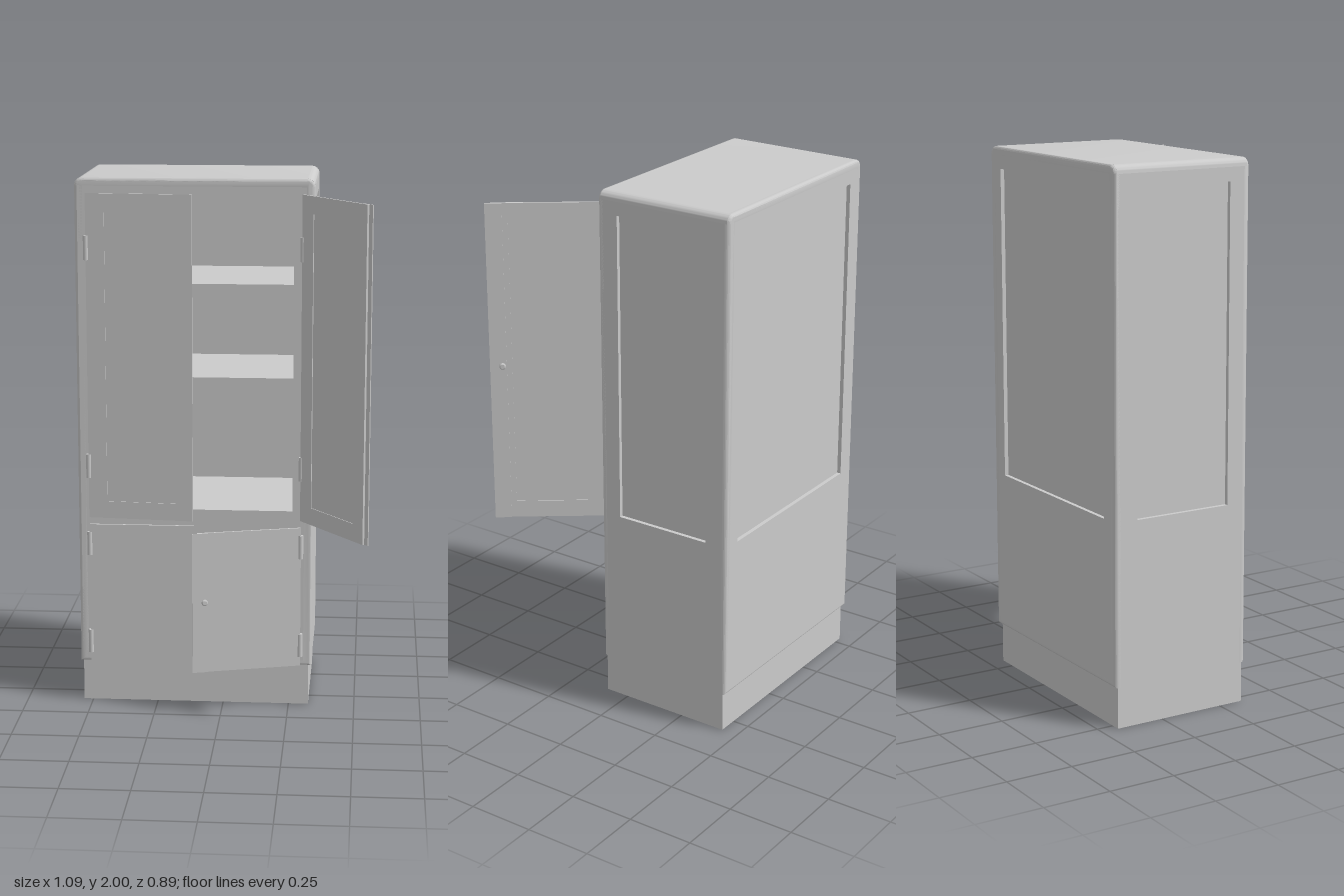
import * as THREE from 'three';
import { toCreasedNormals } from 'three/addons/utils/BufferGeometryUtils.js';

const mat = new THREE.MeshStandardMaterial({ color: 0xcccccc });

// Cabinet shell, measured about its own centre line
const CX = -0.105, HALF = 0.44, BACK = -0.45, FRONT = 0.10;
const LOW = 0.155, TOP = 2, WALL = 0.03, RECESS = 0.015;
const WIN = { x: 0.365, y0: 0.76, y1: 1.92, z0: -0.36, z1: 0.02 };

function add(parent, name, geo, x = 0, y = 0, z = 0) {
  const mesh = new THREE.Mesh(geo, mat);
  mesh.name = name;
  mesh.position.set(x, y, z);
  parent.add(mesh);
  return mesh;
}

// Box given by its limits on each axis
function block(parent, name, x0, x1, y0, y1, z0, z1) {
  const geo = new THREE.BoxGeometry(Math.abs(x1 - x0), y1 - y0, z1 - z0);
  return add(parent, name, geo, (x0 + x1) / 2, (y0 + y1) / 2, (z0 + z1) / 2);
}

// Rectangle whose two upper corners are rounded by r
function outline(x0, x1, y0, y1, r = 0, Type = THREE.Shape) {
  const s = new Type();
  s.moveTo(x0, y0);
  s.lineTo(x1, y0);
  s.lineTo(x1, y1 - r);
  if (r) s.absarc(x1 - r, y1 - r, r, 0, Math.PI / 2, false);
  s.lineTo(x0 + r, y1);
  if (r) s.absarc(x0 + r, y1 - r, r, Math.PI / 2, Math.PI, false);
  s.closePath();
  return s;
}
const hole = (x0, x1, y0, y1) => outline(x0, x1, y0, y1, 0, THREE.Path);

function extrude(shape, depth, bevel = 0) {
  const geo = new THREE.ExtrudeGeometry(shape, {
    depth: depth - 2 * bevel, curveSegments: 5, bevelEnabled: bevel > 0,
    bevelSize: bevel, bevelThickness: bevel, bevelOffset: -bevel, bevelSegments: 3,
  });
  geo.translate(0, 0, bevel);
  return toCreasedNormals(geo, 0.6);
}

function buildBody() {
  const body = new THREE.Group();
  body.name = 'cabinetBody';
  const window = () => hole(-WIN.x, WIN.x, WIN.y0, WIN.y1);

  // Front and back: rounded rim around a crisp plate with openings
  const faces = [
    ['front', FRONT - WALL, [window(), hole(-WIN.x, WIN.x, 0.19, 0.67)]],
    ['back', BACK, [window()]],
  ];
  for (const [name, z, holes] of faces) {
    const rim = outline(-HALF, HALF, LOW, TOP, 0.03);
    rim.holes.push(hole(-HALF + 0.04, HALF - 0.04, LOW + 0.03, TOP - 0.04));
    add(body, name + 'Rim', extrude(rim, WALL, 0.01), 0, 0, z);
    const plate = outline(-HALF + 0.01, HALF - 0.01, LOW + 0.01, TOP - 0.01, 0.02);
    plate.holes.push(...holes);
    add(body, name + 'Frame', extrude(plate, WALL), 0, 0, z);
  }

  // Side walls with their windows
  const z0 = BACK + 0.01, z1 = FRONT - 0.01;
  for (const side of [-1, 1]) {
    const wall = outline(z0, z1, LOW, TOP - 0.03);
    wall.holes.push(hole(WIN.z0, WIN.z1, WIN.y0, WIN.y1));
    const geo = extrude(wall, WALL);
    geo.rotateY(-Math.PI / 2);
    add(body, 'sideWall', geo, side > 0 ? HALF : -HALF + WALL);
    const px = side * (HALF - RECESS);
    block(body, 'sidePane', px, px - side * 0.008, WIN.y0 - 0.01, WIN.y1 + 0.01, WIN.z0 - 0.01, WIN.z1 + 0.01);
  }
  block(body, 'backPane', -WIN.x - 0.01, WIN.x + 0.01, WIN.y0 - 0.01, WIN.y1 + 0.01, BACK + RECESS, BACK + RECESS + 0.008);

  // Roof with rounded long edges
  add(body, 'roof', extrude(outline(-HALF, HALF, TOP - 0.03, TOP, 0.029), z1 - z0), 0, 0, z0);

  // Floors and shelves
  const inner = HALF - WALL, zi0 = BACK + WALL, zi1 = FRONT - WALL;
  block(body, 'bottomFloor', -inner, inner, LOW, 0.19, zi0, zi1);
  block(body, 'middleFloor', -inner, inner, 0.72, WIN.y0, zi0, zi1);
  for (const y of [1.24, 1.59]) block(body, 'shelf', -inner, inner, y, y + 0.02, zi0, zi1);

  block(body, 'plinth', -0.43, 0.43, 0, LOW + 0.005, -0.435, 0.095);
  return body;
}

// Door hung at the origin; dir is the way it reaches from its hinge when shut
function buildDoor({ name, dir, y0, y1, angle, glazed, lip, knobY, hinges }) {
  const door = new THREE.Group();
  door.name = name;
  const len = 0.395, t = 0.004;
  const leaf = outline(Math.min(0, dir * len), Math.max(0, dir * len), y0, y1);
  if (glazed) {
    const a = dir * 0.07, b = dir * 0.335;
    leaf.holes.push(hole(Math.min(a, b), Math.max(a, b), y0 + 0.065, y1 - 0.065));
    block(door, 'doorPane', a - dir * 0.005, b + dir * 0.005, y0 + 0.06, y1 - 0.06, -0.001, 0.001);
  }
  add(door, 'doorLeaf', extrude(leaf, 2 * t), 0, 0, -t);

  // Overlapping strip and knob on the active doors
  if (lip) {
    block(door, 'closingStrip', dir * 0.355, dir * 0.416, y0, y1, t, t + 0.004);
    const profile = [[0, 0], [0.006, 0], [0.006, 0.005], [0.012, 0.008], [0.012, 0.012], [0.008, 0.015], [0, 0.015]];
    const geo = new THREE.LatheGeometry(profile.map(p => new THREE.Vector2(...p)), 20);
    geo.rotateX(Math.PI / 2);
    add(door, 'knob', toCreasedNormals(geo, 0.6), dir * 0.37, knobY, t + 0.003);
  }

  // Hinge barrels
  for (const y of hinges) add(door, 'hinge', new THREE.CylinderGeometry(0.01, 0.01, 0.09, 16), 0, y, 0);

  door.position.set(CX - dir * 0.398, 0, 0.112);
  door.rotation.y = THREE.MathUtils.degToRad(angle);
  return door;
}

export function createModel() {
  const model = new THREE.Group();
  model.name = 'cabinet';
  const body = buildBody();
  body.position.x = CX;
  model.add(body);

  const upper = { y0: 0.727, y1: 1.945, glazed: true, knobY: 1.335, hinges: [0.925, 1.745] };
  const lower = { y0: 0.16, y1: 0.7, glazed: false, knobY: 0.435, hinges: [0.24, 0.625] };
  model.add(
    buildDoor({ ...upper, name: 'upperRightDoor', dir: 1, angle: -5 }),
    buildDoor({ ...upper, name: 'upperLeftDoor', dir: -1, angle: 126.5, lip: true }),
    buildDoor({ ...lower, name: 'lowerRightDoor', dir: 1, angle: 0 }),
    buildDoor({ ...lower, name: 'lowerLeftDoor', dir: -1, angle: 15.75, lip: true }),
  );
  return model;
}
